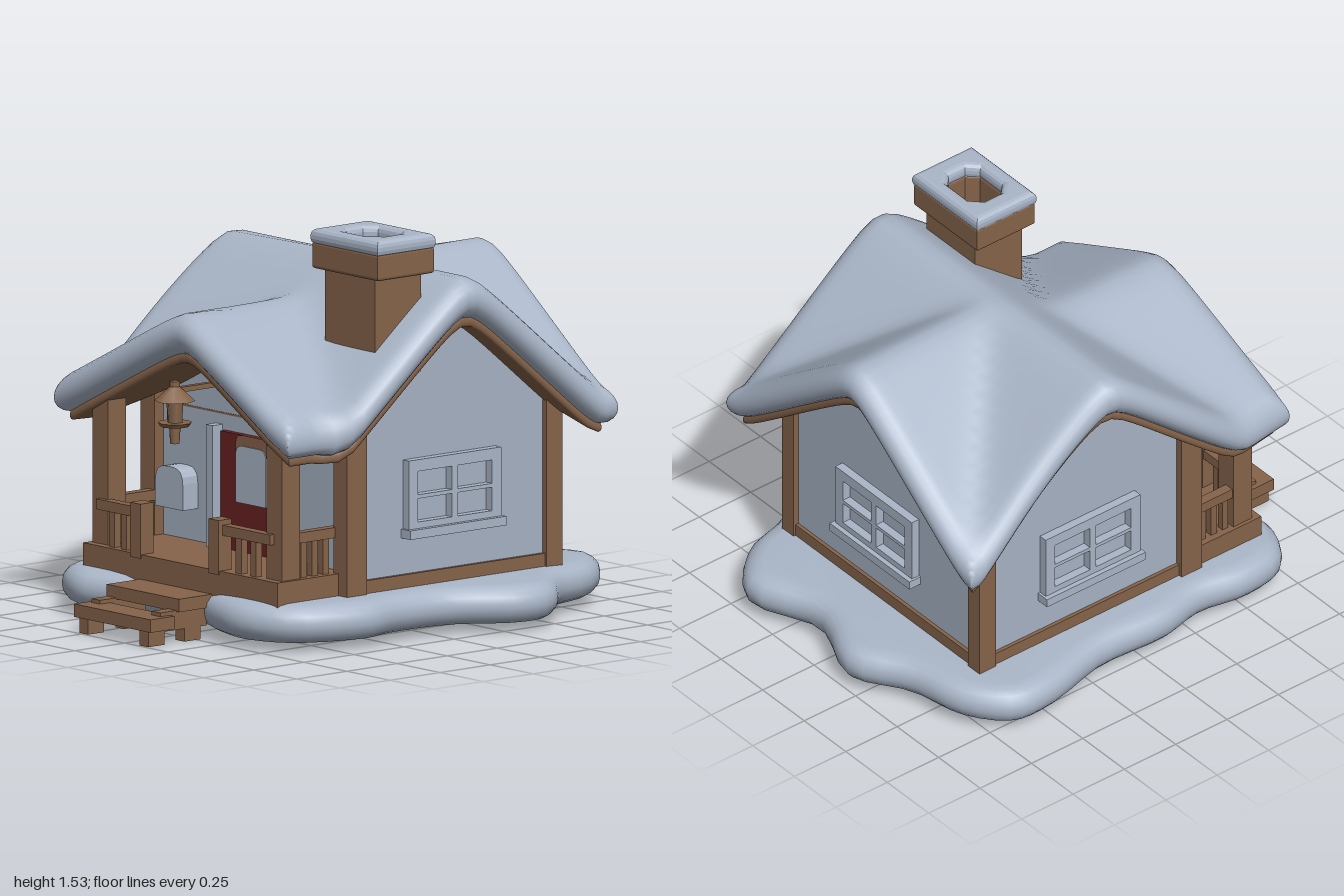
import * as THREE from 'three';
import { mergeVertices, toCreasedNormals } from 'three/addons/utils/BufferGeometryUtils.js';

const mat = (name, color) => {
  const m = new THREE.MeshStandardMaterial({ color });
  m.name = name;
  return m;
};

// roof heights: main ridge along x, a front and a back gable along z
const main = z => 1.411 - 0.85 * Math.hypot(z + 0.15, 0.06);
const front = x => 1.242 - 0.54 * Math.hypot(x + 0.08, 0.06);
const back = x => 1.388 - 0.78 * Math.hypot(x + 0.04, 0.06);
const softMax = (a, b) => 0.5 * (a + b + Math.hypot(a - b, 0.04));
const roofTop = (x, z) => softMax(Math.max(main(z), 0.85), z > -0.15 ? front(x) : back(x));

export function createModel() {
  const root = new THREE.Group();
  root.name = 'snowyCottage';
  const snow = mat('snow', 0xaab6c8), wood = mat('wood', 0x86644a), wall = mat('wall', 0xa8b3c4);
  const red = mat('doorRed', 0x6a2224);

  const add = (name, geo, material, parent = root) => {
    const m = new THREE.Mesh(geo, material);
    m.name = name;
    parent.add(m);
    return m;
  };
  // box given by its limits on each axis
  const box = (name, x0, x1, y0, y1, z0, z1, material, parent) => {
    const g = new THREE.BoxGeometry(x1 - x0, y1 - y0, z1 - z0);
    g.translate((x0 + x1) / 2, (y0 + y1) / 2, (z0 + z1) / 2);
    return add(name, g, material, parent);
  };

  // closed slab that follows the roof, with rounded rims
  const roofLayer = (name, inset, lower, thick, round, material) => {
    const t = [];
    for (const e of [0, 0.04, 0.15, 0.35, 0.65]) t.push(e * round);
    const N = 30, start = round;
    const line = len => [...t, ...Array.from({ length: N + 1 }, (_, i) => start + (len - 2 * start) * i / N),
      ...t.map(d => len - d).reverse()];
    const us = line(1.47), vs = line(1.56), n = us.length, k = vs.length;
    const pos = [], idx = [];
    for (const side of [0, 1]) {
      for (const u of us) for (const v of vs) {
        const fu = u / 1.47, fv = v / 1.56;
        const x0 = -0.78 + 1.47 * fu;
        const zf = 0.67 + 0.04 * Math.min(1, Math.abs(x0 + 0.08) / 0.6) - inset;
        const zb = -0.87 + inset;
        const z = zb + (zf - zb) * fv;
        const xl = -0.77 - 0.025 * Math.sin(z * 5 + 0.5) + inset;
        const xr = 0.69 - 0.08 * THREE.MathUtils.smoothstep(z, 0.4, 0.54) - inset;
        const x = xl + (xr - xl) * fu;
        const d = Math.min(u, 1.47 - u, v, 1.56 - v, round);
        const drop = (1 - Math.sqrt(Math.max(0, 1 - (1 - d / round) ** 2))) * thick / 2;
        pos.push(x, roofTop(x, z) - lower - (side ? thick - drop : drop), z);
      }
      for (let i = 0; i < n - 1; i++) for (let j = 0; j < k - 1; j++) {
        const a = side * n * k + i * k + j, b = a + 1, c = a + k, e = c + 1;
        if (side) idx.push(a, c, b, b, c, e);
        else idx.push(a, b, c, b, e, c);
      }
    }
    let g = new THREE.BufferGeometry();
    g.setAttribute('position', new THREE.Float32BufferAttribute(pos, 3));
    g.setIndex(idx);
    g = mergeVertices(g, 1e-5);
    g.computeVertexNormals();
    return add(name, g, material);
  };
  roofLayer('roofSnow', 0, 0, 0.16, 0.08, snow);
  roofLayer('roofBoards', 0.045, 0.145, 0.045, 0.012, wood);

  // snow mound under the house
  const outline = [[-0.2, -1], [0.1, -0.9], [0.4, -1], [0.58, -0.85], [0.66, -0.62], [0.83, -0.42], [0.82, -0.25],
    [0.7, -0.05], [0.68, 0.2], [0.71, 0.38], [0.6, 0.67], [0.4, 0.77], [0.2, 0.74], [0, 0.66], [-0.2, 0.68],
    [-0.4, 0.75], [-0.55, 0.78], [-0.72, 0.69], [-0.76, 0.5], [-0.73, 0.3], [-0.77, 0.1], [-0.76, -0.2],
    [-0.83, -0.5], [-0.82, -0.68], [-0.66, -0.82], [-0.42, -0.88]];
  const curve = new THREE.CatmullRomCurve3(outline.map(([x, z]) => new THREE.Vector3(x, -z, 0)), true);
  const moundShape = new THREE.Shape(curve.getPoints(90).slice(0, 90).map(p => new THREE.Vector2(p.x, p.y)));
  const moundGeo = new THREE.ExtrudeGeometry(moundShape, {
    depth: 0.02, bevelThickness: 0.065, bevelSize: 0.08, bevelOffset: -0.08, bevelSegments: 4 });
  moundGeo.rotateX(-Math.PI / 2).translate(0, 0.095, 0);
  add('snowMound', toCreasedNormals(moundGeo, 0.8), snow);

  // walls: one gabled body per roof direction
  const gableBody = (name, h, a, b, depth) => {
    const s = new THREE.Shape();
    s.moveTo(a, 0.12);
    s.lineTo(b, 0.12);
    for (let i = 0; i <= 16; i++) {
      const t = b + (a - b) * i / 16;
      s.lineTo(t, h(t) - 0.17);
    }
    return add(name, new THREE.ExtrudeGeometry(s, { depth, bevelEnabled: false }), wall);
  };
  const sideBody = gableBody('sideGableWalls', t => main(-t), -0.33, 0.67, 1.14);
  sideBody.geometry.rotateY(Math.PI / 2).translate(-0.6, 0, 0);
  gableBody('backGableWall', back, -0.6, 0.54, 0.57).position.z = -0.675;
  gableBody('frontGableWall', front, -0.6, 0.54, 0.43).position.z = -0.095;

  // timber frame
  for (const x of [-0.59, 0.53]) {
    box('frontCornerPost', x - 0.04, x + 0.04, 0.15, 0.84, 0.28, 0.38, wood);
    box('backCornerPost', x - 0.035, x + 0.035, 0.15, 0.82, -0.7, -0.62, wood);
    box('sideSill', x - 0.025, x + 0.025, 0.15, 0.23, -0.66, 0.33, wood);
  }
  box('backSill', -0.6, 0.54, 0.15, 0.23, -0.69, -0.64, wood);
  box('frontSeam', -0.56, 0.5, 0.775, 0.782, 0.33, 0.337, wood);

  // four-pane windows, built facing +z
  const windowAt = (x, y, z, turn) => {
    const g = new THREE.Group();
    g.name = 'window';
    const s = new THREE.Shape([[-0.23, -0.13], [0.23, -0.13], [0.23, 0.15], [-0.23, 0.15]].map(p => new THREE.Vector2(...p)));
    for (const px of [-0.1, 0.1]) for (const py of [-0.045, 0.06]) {
      const w = 0.085, h = 0.045;
      s.holes.push(new THREE.Path([[-w, -h], [-w, h], [w, h], [w, -h]].map(([a, b]) => new THREE.Vector2(px + a, py + b))));
    }
    add('windowFrame', new THREE.ExtrudeGeometry(s, { depth: 0.035, bevelEnabled: false }), snow, g);
    box('windowSill', -0.24, 0.24, -0.15, -0.115, 0, 0.055, snow, g);
    g.position.set(x, y, z);
    g.rotation.y = turn;
    root.add(g);
  };
  windowAt(0.54, 0.52, -0.155, Math.PI / 2);
  windowAt(-0.6, 0.52, -0.155, -Math.PI / 2);
  windowAt(0, 0.52, -0.675, Math.PI);

  // door with a rounded pane
  box('door', -0.19, 0.15, 0.25, 0.715, 0.33, 0.36, red);
  const rounded = (w, h, r) => {
    const s = new THREE.Shape();
    s.moveTo(-w, -h).lineTo(w, -h).lineTo(w, h - r);
    s.quadraticCurveTo(w, h, w - r, h).lineTo(r - w, h);
    s.quadraticCurveTo(-w, h, -w, h - r);
    s.closePath();
    return s;
  };
  const plate = (name, w, h, r, x, y, z, depth, material) =>
    add(name, new THREE.ExtrudeGeometry(rounded(w, h, r), { depth, bevelEnabled: false, curveSegments: 4 }), material).position.set(x, y, z);
  plate('doorPaneArch', 0.092, 0.035, 0.035, -0.005, 0.68, 0.36, 0.004, wood);
  plate('doorPane', 0.088, 0.11, 0.04, -0.005, 0.565, 0.36, 0.008, snow);
  for (const x of [-0.225, 0.18]) box('doorJamb', x - 0.02, x + 0.02, 0.25, 0.735, 0.33, 0.385, wall);
  plate('wallSnowLump', 0.08, 0.08, 0.06, -0.43, 0.47, 0.33, 0.08, snow);

  // porch deck, posts and railings
  box('porchDeck', -0.61, 0.52, 0.15, 0.265, 0.33, 0.685, wood);
  for (const [post, newel, dir] of [[-0.55, -0.3, -1], [0.46, 0.155, 1]]) {
    box('porchPost', post - 0.045, post + 0.045, 0.25, 0.86, 0.56, 0.65, wood);
    box('railNewel', newel - 0.03, newel + 0.03, 0.25, 0.46, 0.625, 0.69, wood);
    const a = Math.min(post, newel), b = Math.max(post, newel);
    box('frontRail', a, b, 0.4, 0.44, 0.63, 0.67, wood);
    for (const f of [0.38, 0.66]) {
      const x = newel + (post - newel) * f;
      box('frontBaluster', x - 0.016, x + 0.016, 0.26, 0.41, 0.635, 0.665, wood);
    }
    const sx = post + dir * 0.02;
    box('sideRail', sx - 0.02, sx + 0.02, 0.4, 0.44, 0.36, 0.58, wood);
    for (const z of [0.42, 0.475, 0.53]) box('sideBaluster', sx - 0.014, sx + 0.014, 0.26, 0.41, z - 0.014, z + 0.014, wood);
  }

  // steps
  box('upperTread', -0.28, 0.14, 0.12, 0.17, 0.68, 0.85, wood);
  box('lowerTread', -0.295, 0.15, 0.06, 0.11, 0.88, 1, wood);
  for (const x of [-0.25, 0.1]) {
    box('stepStringer', x - 0.025, x + 0.025, 0.05, 0.125, 0.7, 0.93, wood);
    for (const z of [0.77, 0.95]) box('stepFoot', x - 0.025, x + 0.025, 0, 0.07, z - 0.04, z + 0.04, wood);
  }

  // hanging lantern below the porch peak
  const lantern = new THREE.Group();
  lantern.name = 'lantern';
  lantern.position.set(-0.035, 0, 0.72);
  root.add(lantern);
  const turned = (name, rt, rb, y0, y1, sides) => add(name,
    new THREE.CylinderGeometry(rt, rb, y1 - y0, sides).toNonIndexed().translate(0, (y0 + y1) / 2, 0), wood, lantern);
  turned('lanternDrop', 0.022, 0.018, 0.73, 0.8, 8);
  turned('lanternDish', 0.065, 0.055, 0.797, 0.812, 10);
  turned('lanternBody', 0.034, 0.03, 0.81, 0.9, 6);
  turned('lanternHat', 0.018, 0.078, 0.895, 0.95, 8);
  turned('lanternTip', 0.02, 0.02, 0.95, 0.97, 8);
  box('lanternArm', -0.012, 0.012, 0.925, 0.945, -0.37, 0, wood, lantern);

  // hollow chimney with a snowy crown
  const ring = (name, w, d, y0, y1, bevel, material) => {
    const s = new THREE.Shape([[-w, -d], [w, -d], [w, d], [-w, d]].map(p => new THREE.Vector2(...p)));
    const c = 0.04, a = 0.105, b = 0.08;
    s.holes.push(new THREE.Path([[-a, -b + c], [-a, b - c], [-a + c, b], [a - c, b], [a, b - c], [a, -b + c], [a - c, -b], [-a + c, -b]]
      .map(p => new THREE.Vector2(...p))));
    const g = new THREE.ExtrudeGeometry(s, { depth: y1 - y0 - 2 * bevel, bevelEnabled: bevel > 0,
      bevelThickness: bevel, bevelSize: bevel, bevelOffset: -bevel, bevelSegments: 3 });
    g.rotateX(-Math.PI / 2).translate(0.395, y0 + bevel, 0.1);
    return add(name, g, material);
  };
  ring('chimneyShaft', 0.145, 0.115, 1.0, 1.4, 0, wood);
  ring('chimneyCrown', 0.19, 0.14, 1.38, 1.485, 0.012, wood);
  ring('chimneySnow', 0.195, 0.145, 1.47, 1.535, 0.025, snow);
  box('chimneyFloor', 0.27, 0.52, 1.24, 1.28, 0.0, 0.2, wood);

  return root;
}
